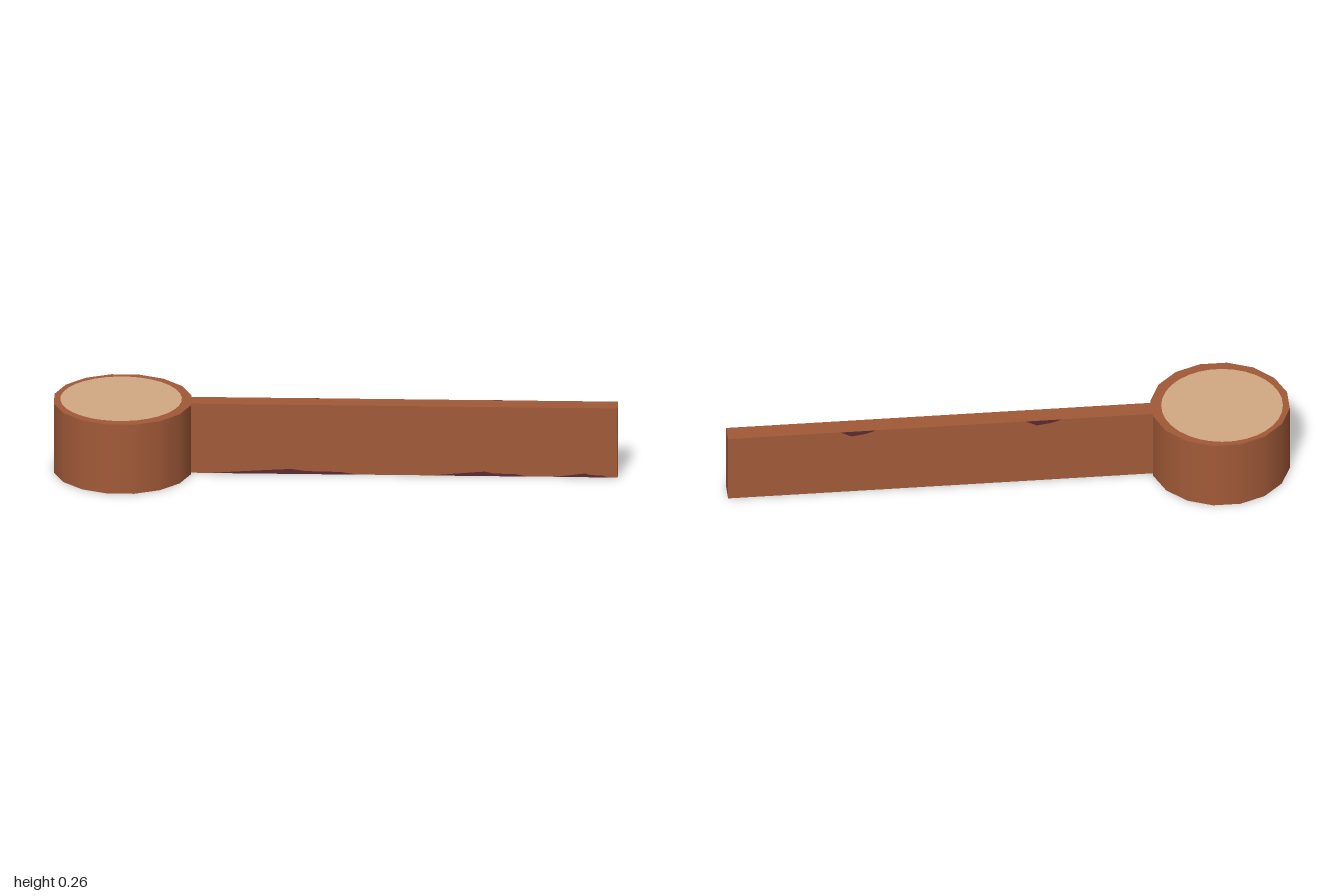
import * as THREE from 'three';

const bark = new THREE.MeshStandardMaterial({ color: 0xa25a38, side: THREE.DoubleSide });
bark.name = 'bark';
const cutWood = new THREE.MeshStandardMaterial({ color: 0xd2a882, side: THREE.DoubleSide });
cutWood.name = 'cutWood';
const stain = new THREE.MeshStandardMaterial({ color: 0x5c2a34, side: THREE.DoubleSide });
stain.name = 'stain';

const HEIGHT = 0.263, SIDES = 16, RADIUS = 0.248, CENTRE = -0.757;
const BAR_START = -0.515, BAR_HALF = 0.033;

// Regular outline with flats facing the axes
function ring(radius, sides, x = 0, y = 0) {
  return Array.from({ length: sides }, (_, i) => {
    const a = ((i + 0.5) / sides) * Math.PI * 2;
    return new THREE.Vector2(x + radius * Math.cos(a), y + radius * Math.sin(a));
  });
}

export function createModel() {
  const model = new THREE.Group();
  model.name = 'logWithBranch';
  const add = (name, geometry, material, parent = model) => {
    const mesh = new THREE.Mesh(geometry, material);
    mesh.name = name;
    parent.add(mesh);
    return mesh;
  };

  // Hollow stump, open underneath
  const stump = new THREE.Group();
  stump.name = 'stump';
  stump.position.x = CENTRE;
  model.add(stump);
  const wall = new THREE.CylinderGeometry(RADIUS, RADIUS, HEIGHT, SIDES, 1, true, Math.PI / SIDES);
  wall.translate(0, HEIGHT / 2, 0);
  add('stumpWall', wall, bark, stump);

  // Top: bark rim around a slightly off-centre pale cut
  const cut = ring(0.216, 32, -0.006, 0.007);
  const rim = new THREE.Shape(ring(RADIUS, SIDES));
  rim.holes.push(new THREE.Path(cut));
  for (const [name, shape, material] of [['barkRim', rim, bark], ['cutFace', new THREE.Shape(cut), cutWood]]) {
    const top = add(name, new THREE.ShapeGeometry(shape), material, stump);
    top.rotation.x = -Math.PI / 2;
    top.position.y = HEIGHT;
  }

  // Long flat branch
  const length = 1 - BAR_START;
  const bar = new THREE.BoxGeometry(length, HEIGHT, BAR_HALF * 2);
  bar.translate(BAR_START + length / 2, HEIGHT / 2, 0);
  add('branch', bar, bark);

  // Dark stains: along the bottom edge in front, the top edge behind
  const bumps = [[-0.45, 0.08, 0.019], [0.34, 0.68, 0.017], [0.78, 0.97, 0.014]];
  for (const [x0, x1, h] of bumps) {
    const w = x1 - x0;
    const shape = new THREE.Shape([
      [x0, 0], [x1, 0], [x1 - w * 0.12, h * 0.5], [x1 - w * 0.35, h * 0.6],
      [x0 + w * 0.55, h], [x0 + w * 0.4, h * 0.75], [x0 + w * 0.2, h * 0.4],
    ].map(([x, y]) => new THREE.Vector2(x, y)));
    add('frontStain', new THREE.ShapeGeometry(shape), stain).position.z = BAR_HALF + 0.001;
  }
  for (const x of [-0.12, 0.54]) {
    const shape = new THREE.Shape([[-0.07, 0], [-0.03, -0.013], [0.02, -0.02], [0.06, 0]]
      .map(([dx, y]) => new THREE.Vector2(x + dx, HEIGHT + y)));
    add('backStain', new THREE.ShapeGeometry(shape), stain).position.z = -BAR_HALF - 0.001;
  }
  return model;
}
